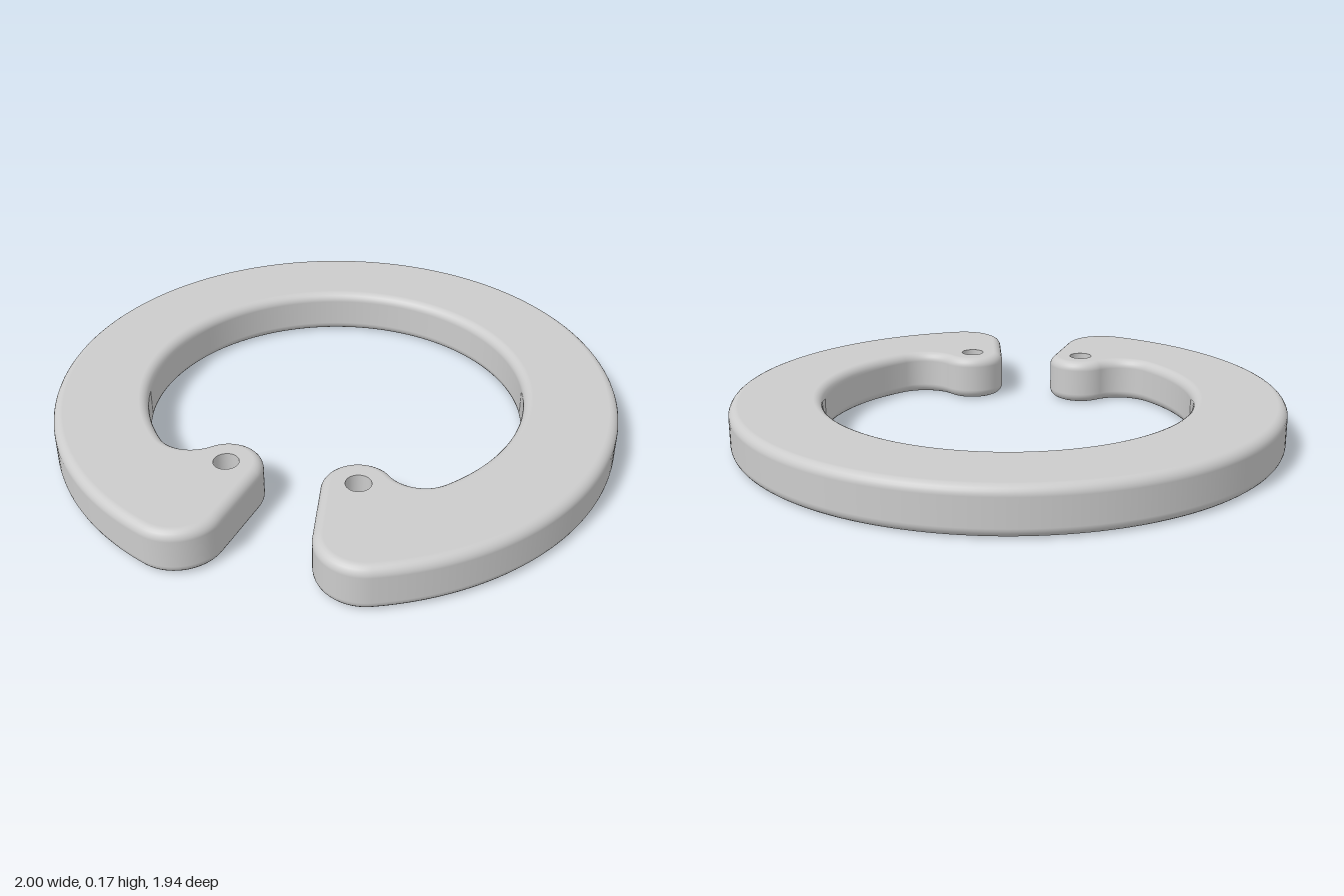
import * as THREE from 'three';

const H = 0.165, BEVEL = 0.034, HOLE_R = 0.043;
// Arc centres in the (x, z) plane
const O = new THREE.Vector2(0, 0.03);       // ring
const L = new THREE.Vector2(0.223, 0.577);  // eyelet
const T = new THREE.Vector2(0.305, 0.81);   // lug tip
const R_OUT = 1, R_IN = 0.67, R_EYE = 0.122, R_FILLET = 0.12;

const angleTo = (a, b) => Math.atan2(b.y - a.y, b.x - a.x);

// Outline as {p, n}: a chain of tangent arcs for one half, then its mirror
function outline() {
  const rTip = R_OUT - O.distanceTo(T);
  // Fillet circle touches both the inner ring circle and the eyelet circle
  const d = O.distanceTo(L), r0 = R_IN - R_FILLET, r1 = R_EYE + R_FILLET;
  const swing = Math.acos((r0 * r0 + d * d - r1 * r1) / (2 * r0 * d));
  const fa = angleTo(O, L) - swing;
  const F = new THREE.Vector2(O.x + r0 * Math.cos(fa), O.y + r0 * Math.sin(fa));
  // Straight gap edge, tangent to tip and eyelet
  const edge = angleTo(L, T) + Math.acos((R_EYE - rTip) / L.distanceTo(T));
  const back = -Math.PI / 2;

  const half = [];
  const arc = (c, r, a0, a1, sign, steps) => {
    for (let i = 0; i <= steps; i++) {
      const a = a0 + (a1 - a0) * i / steps;
      const dir = new THREE.Vector2(Math.cos(a), Math.sin(a));
      const p = c.clone().addScaledVector(dir, r);
      const last = half[half.length - 1];
      if (last && last.p.distanceTo(p) < 1e-5) continue;
      half.push({ p, n: dir.multiplyScalar(sign) });
    }
  };
  arc(O, R_OUT, back, angleTo(O, T), 1, 80);
  arc(T, rTip, angleTo(O, T), edge, 1, 20);
  arc(L, R_EYE, edge, angleTo(L, F) + 2 * Math.PI, 1, 24);
  arc(F, R_FILLET, angleTo(F, L), fa, -1, 16);
  arc(O, R_IN, fa, back, -1, 70);

  const flip = v => new THREE.Vector2(-v.x, v.y);
  const mirrored = half.slice(1, -1).reverse().map(s => ({ p: flip(s.p), n: flip(s.n) }));
  return half.concat(mirrored);
}

// Side wall with rounded top and bottom edges
function wallGeometry(loop) {
  const profile = [], steps = 6;
  for (let k = 0; k <= steps; k++) {
    const a = -Math.PI / 2 + k / steps * Math.PI / 2;
    profile.push([a, BEVEL + BEVEL * Math.sin(a)]);
  }
  for (let k = 0; k <= steps; k++) {
    const a = k / steps * Math.PI / 2;
    profile.push([a, H - BEVEL + BEVEL * Math.sin(a)]);
  }
  const pos = [], nor = [], idx = [], m = profile.length;
  loop.forEach(({ p, n }, i) => {
    for (const [a, y] of profile) {
      const inset = BEVEL * (1 - Math.cos(a));
      pos.push(p.x - n.x * inset, y, p.y - n.y * inset);
      nor.push(n.x * Math.cos(a), Math.sin(a), n.y * Math.cos(a));
    }
    const next = (i + 1) % loop.length;
    for (let j = 0; j < m - 1; j++) {
      const a = i * m + j, c = next * m + j;
      idx.push(a, a + 1, c, c, a + 1, c + 1);
    }
  });
  const g = new THREE.BufferGeometry();
  g.setAttribute('position', new THREE.Float32BufferAttribute(pos, 3));
  g.setAttribute('normal', new THREE.Float32BufferAttribute(nor, 3));
  g.setIndex(idx);
  return g;
}

// Flat face with the two eyelet holes; dir is 1 for top, -1 for bottom
function faceGeometry(loop, dir) {
  const shape = new THREE.Shape(loop.map(({ p, n }) =>
    new THREE.Vector2(p.x - n.x * BEVEL, -dir * (p.y - n.y * BEVEL))));
  for (const s of [1, -1]) {
    shape.holes.push(new THREE.Path().absarc(s * L.x, -dir * L.y, HOLE_R, 0, Math.PI * 2, true));
  }
  const g = new THREE.ShapeGeometry(shape, 16);
  g.rotateX(-dir * Math.PI / 2);
  g.translate(0, dir > 0 ? H : 0, 0);
  return g;
}

export function createModel() {
  const group = new THREE.Group();
  group.name = 'retainingRing';
  const grey = new THREE.MeshStandardMaterial({ color: 0xcccccc });
  const greyDouble = new THREE.MeshStandardMaterial({ color: 0xcccccc, side: THREE.DoubleSide });
  const add = (name, geometry, material = grey) => {
    const mesh = new THREE.Mesh(geometry, material);
    mesh.name = name;
    group.add(mesh);
    return mesh;
  };

  const loop = outline();
  add('roundedWall', wallGeometry(loop));
  add('topFace', faceGeometry(loop, 1));
  add('bottomFace', faceGeometry(loop, -1));

  // Bores through the two eyelets
  for (const [name, s] of [['leftBore', 1], ['rightBore', -1]]) {
    const bore = new THREE.CylinderGeometry(HOLE_R, HOLE_R, H, 32, 1, true);
    add(name, bore, greyDouble).position.set(s * L.x, H / 2, L.y);
  }
  return group;
}
